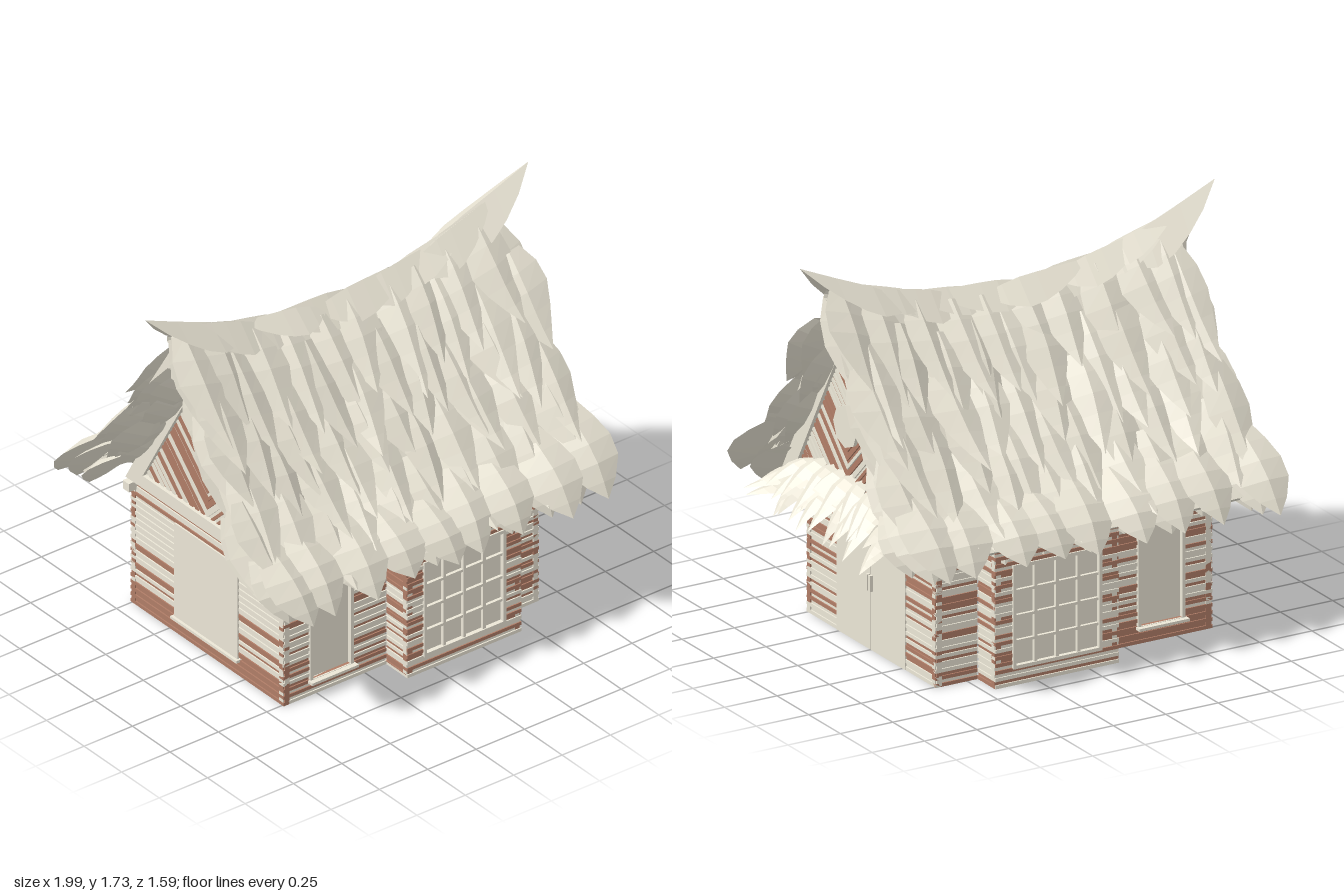
import * as THREE from 'three';
import { mergeGeometries } from 'three/addons/utils/BufferGeometryUtils.js';

const cream = new THREE.MeshStandardMaterial({ color: 0xebe6d6, flatShading: true, side: THREE.DoubleSide });
const brown = new THREE.MeshStandardMaterial({ color: 0xb07d67, flatShading: true, side: THREE.DoubleSide });

let seed = 7;
const rnd = () => (seed = (seed * 16807) % 2147483647) / 2147483647;
const vary = (a) => (rnd() * 2 - 1) * a;

function add(parent, name, geo, mat = cream) {
  const m = new THREE.Mesh(geo, mat);
  m.name = name;
  parent.add(m);
  return m;
}
function box(parent, name, w, h, d, x, y, z) {
  const m = add(parent, name, new THREE.BoxGeometry(w, h, d));
  m.position.set(x, y, z);
  return m;
}

// Wall of thin stacked planks facing +z, from x0 to x1, with an optional opening [x0, x1, y0, y1]
function plankWall(parent, name, x0, x1, hole) {
  const rows = 40, h = 0.62 / rows, parts = [[], []];
  for (let i = 0; i < rows; i++) {
    const y = (i + 0.5) * h;
    const cut = hole && y > hole[2] && y < hole[3];
    const spans = cut ? [[x0, hole[0]], [hole[1], x1]] : [[x0, x1]];
    const tone = rnd(), depth = i % 2 ? 0.024 : 0.03;
    for (const [a, b] of spans) {
      const g = new THREE.BoxGeometry(b - a, h, depth);
      g.translate((a + b) / 2, y, depth / 2 - 0.03);
      parts[tone + vary(0.15) > 0.58 ? 1 : 0].push(g);
    }
  }
  const wall = new THREE.Group();
  wall.name = name;
  parts.forEach((p, i) => p.length && add(wall, i ? 'brownPlanks' : 'palePlanks', mergeGeometries(p), i ? brown : cream));
  parent.add(wall);
  return wall;
}

// Pointed, ridged leaf; map(across, along 0..1, out) places it on a surface
function leaf(width, thick, map, sections = [0.5, 0.9, 1, 0.75, 0.4, 0]) {
  const n = sections.length - 1;
  const g = new THREE.CylinderGeometry(1, 1, 1, 4, n, true);
  const p = g.attributes.position;
  for (let i = 0; i < p.count; i++) {
    const along = 0.5 - p.getY(i);
    const w = sections[Math.round(along * n)];
    const v = map(p.getX(i) * w * width / 2, along, p.getZ(i) * w * thick);
    p.setXYZ(i, v.x, v.y, v.z);
  }
  return g;
}

// Sagging, flared roof slope: x, t (0 ridge .. 1 eave), distance out
function slope(x, t, out) {
  const top = 1.45 + 0.17 * (x / 0.88) ** 2;
  const y = 0.54 + (top - 0.54) * (t < 1 ? Math.pow(1 - t, 1.2) : 1 - t);
  return new THREE.Vector3(x, y + out * 0.55, 0.02 + 0.75 * t + out * 0.83);
}

function thatchSide() {
  const side = new THREE.Group();
  side.name = 'roofSlope';
  const core = new THREE.BoxGeometry(1.6, 1, 1, 14, 10, 1);
  const p = core.attributes.position;
  for (let i = 0; i < p.count; i++) {
    const v = slope(p.getX(i), (0.5 - p.getY(i)) * 0.88, p.getZ(i) > 0 ? -0.01 : -0.06);
    p.setXYZ(i, v.x, v.y, v.z);
  }
  add(side, 'thatchBase', core);
  const leaves = [], rows = 6;
  for (const layer of [-0.1, -0.05, 0]) {
    for (let r = layer < -0.08 ? 1 : 0; r < rows - 1; r++) {
      for (let c = 0; c < 10; c++) {
        const x = -0.77 + 1.51 * c / 9 + (r % 2 ? 0.025 : -0.025) + vary(0.025);
        const t0 = Math.max(0, r * 0.135 - 0.03 + vary(0.05));
        const len = 0.35 + vary(0.05);
        const skew = vary(0.05), tilt = vary(0.2), lift = 0.03 + rnd() * 0.04;
        leaves.push(leaf(0.18 + rnd() * 0.06, 0.036, (a, s, o) =>
          slope(x + a + skew * s * s, t0 + len * s, layer + lift * s * s + o + a * tilt)));
      }
    }
    // Eave row of wide bulging leaves
    for (let c = 0; c < 9; c++) {
      const x = -0.78 + 1.54 * c / 8 + vary(0.03), t0 = 0.64 + vary(0.03);
      const len = 0.99 + layer * 0.7 - t0 + vary(0.015), skew = vary(0.04), tilt = vary(0.15);
      leaves.push(leaf(0.23 + rnd() * 0.04, 0.036, (a, s, o) =>
        slope(x + a + skew * s, t0 + len * s, layer + 0.025 * s + 0.03 * Math.sin(Math.PI * s) + o + a * tilt),
      [0.5, 0.8, 1, 0.95, 0.55, 0]));
    }
  }
  add(side, 'thatchLeaves', mergeGeometries(leaves));
  return side;
}

// Leaves lying along the curved ridge toward one upturned end
function ridgeHalf() {
  const leaves = [];
  for (const [x0, len, w] of [[-0.12, 0.5, 0.2], [0.08, 0.42, 0.19], [0.22, 0.45, 0.2], [0.36, 0.44, 0.2], [0.48, 0.51, 0.22], [0.4, 0.4, 0.17]]) {
    const dz = vary(0.02), twist = vary(0.25);
    leaves.push(leaf(w, 0.035, (a, s, o) => {
      const x = x0 + len * s;
      const y = 1.45 + 0.26 * Math.pow(Math.abs(x), 2.3) + 0.03 * s;
      return new THREE.Vector3(x, y + o - Math.abs(a) * 0.75 + a * twist, dz * (1 - s) - a);
    }, [0.2, 0.7, 1, 0.95, 0.75, 0.45, 0]));
  }
  return mergeGeometries(leaves);
}

// Small thatched canopy over the +x entrance
function canopy() {
  const leaves = [];
  for (let r = 0; r < 3; r++) {
    for (let c = 0; c < 10; c++) {
      const z0 = -0.36 + 0.08 * c + vary(0.02);
      const top = 0.79 - 0.035 * r - 0.75 * Math.max(0, Math.abs(z0) - 0.24);
      const drop = top - 0.57 - 0.04 * (2 - r) + vary(0.025);
      const x0 = 0.75 + 0.02 * r, reach = 0.18 + vary(0.03), skew = vary(0.05);
      leaves.push(leaf(0.11, 0.02, (a, s, o) => new THREE.Vector3(
        x0 + reach * s + o * 0.6, top - drop * Math.pow(s, 1.4) + o * 0.8, z0 * (1 + 0.2 * s) + skew * s - a)));
    }
  }
  return mergeGeometries(leaves);
}

// Gable with chevron planks, sloping boards and an octagonal panel, facing +z
function gable() {
  const g = new THREE.Group();
  g.name = 'gable';
  const parts = [[], []], apex = 1.42, base = 0.62, step = (apex - base) / 42;
  const low = (c) => (c >= base ? [0, c] : [base - c, base]);
  const high = (c) => { const z = (apex - c) / 2.75; return [z, c + z]; };
  for (let k = -24; k < 42; k++) {
    const c = base + k * step, d = base + (k + 1) * step, tone = rnd() > 0.6 ? 1 : 0;
    for (const s of [-1, 1]) {
      const pts = [low(c), high(c), high(d), low(d)].map(([x, y]) => new THREE.Vector2(s * x, y));
      parts[tone].push(new THREE.ExtrudeGeometry(new THREE.Shape(pts), { depth: k % 2 ? 0.018 : 0.025, bevelEnabled: false }));
    }
  }
  parts.forEach((p, i) => add(g, i ? 'brownChevrons' : 'paleChevrons', mergeGeometries(p), i ? brown : cream));
  const tri = (w, y0, y1) => [[-w, y0], [w, y0], [0, y1]].map(([x, y]) => new THREE.Vector2(x, y));
  const boards = new THREE.Shape(tri(0.525, 0.6, 1.53));
  boards.holes.push(new THREE.Path(tri(0.41, 0.66, 1.38)));
  add(g, 'gableBoards', new THREE.ExtrudeGeometry(boards, { depth: 0.04, bevelEnabled: false }));
  const oct = add(g, 'octagonPanel', new THREE.CylinderGeometry(0.093, 0.093, 0.05, 8).rotateX(Math.PI / 2));
  oct.position.set(0, 1, 0.01);
  return g;
}

// Framed panel with optional glazing bars, facing +z
function framedPanel(parent, name, x0, x1, y0, y1, z, cols, rows) {
  const f = new THREE.Group(), w = x1 - x0, h = y1 - y0, cx = (x0 + x1) / 2, cy = (y0 + y1) / 2;
  f.name = name;
  box(f, 'pane', w, h, 0.01, cx, cy, z - 0.018);
  for (const i of [0, 1]) {
    box(f, 'frameSide', 0.015, h, 0.03, x0 + w * i, cy, z - 0.008);
    box(f, 'frameRail', w + 0.015, 0.015, 0.03, cx, y0 + h * i, z - 0.008);
  }
  for (let i = 1; i < cols; i++) box(f, 'uprightBar', 0.014, h, 0.02, x0 + w * i / cols, cy, z - 0.008);
  for (let i = 1; i < rows; i++) box(f, 'crossBar', w, 0.012, 0.018, cx, y0 + h * i / rows, z - 0.008);
  parent.add(f);
}

export function createModel() {
  const model = new THREE.Group();
  model.name = 'thatchedHut';

  // Long walls with window and projecting bay, front and back
  for (const s of [1, -1]) {
    const side = new THREE.Group();
    side.name = s > 0 ? 'frontWall' : 'backWall';
    const flip = (a, b) => (s > 0 ? [a, b] : [-b, -a]);
    const [w0, w1] = flip(-0.53, -0.32), [b0, b1] = flip(-0.05, 0.36), [l, r] = flip(-0.14, 0.45);
    plankWall(side, 'windowWall', ...flip(-0.67, -0.14), [w0, w1, 0.07, 0.52]).position.z = 0.51;
    plankWall(side, 'cornerWall', ...flip(0.45, 0.65)).position.z = 0.51;
    plankWall(side, 'bayFront', l, r, [b0, b1, 0.08, 0.52]).position.z = 0.65;
    for (const [x, dir] of [[l, -1], [r, 1]]) {
      const cheek = plankWall(side, 'baySide', -0.07, 0.07);
      cheek.rotation.y = dir * Math.PI / 2;
      cheek.position.set(x, 0, 0.575);
    }
    framedPanel(side, 'smallWindow', w0, w1, 0.07, 0.52, 0.51, 1, 1);
    framedPanel(side, 'bayWindow', b0, b1, 0.08, 0.52, 0.65, 4, 4);
    box(side, 'windowSill', 0.24, 0.012, 0.05, (w0 + w1) / 2, 0.07, 0.515);
    box(side, 'bayFloor', 0.59, 0.012, 0.15, (l + r) / 2, 0.006, 0.57);
    box(side, 'bayTop', 0.59, 0.04, 0.15, (l + r) / 2, 0.64, 0.575);
    box(side, 'wallPlate', 1.42, 0.04, 0.04, 0, 0.58, 0.49);
    side.rotation.y = s > 0 ? 0 : Math.PI;
    model.add(side);
  }

  // Entrance end: double door, soffit and projecting gable
  const entrance = new THREE.Group();
  entrance.name = 'entranceEnd';
  plankWall(entrance, 'doorWall', -0.51, 0.51, [-0.27, 0.27, -1, 0.59]).position.z = 0.65;
  for (const d of [-1, 1]) {
    box(entrance, 'door', 0.268, 0.59, 0.02, d * 0.135, 0.295, 0.642);
    box(entrance, 'doorHandle', 0.014, 0.07, 0.02, d * 0.011, 0.295, 0.656);
    box(entrance, 'beamEnd', 0.03, 0.06, 0.06, d * 0.5, 0.63, 0.68);
  }
  box(entrance, 'soffit', 1.05, 0.02, 0.14, 0, 0.61, 0.71);
  const entranceGable = gable();
  entranceGable.position.z = 0.74;
  entrance.add(entranceGable);
  entrance.rotation.y = Math.PI / 2;
  model.add(entrance);

  // Far end: full plank wall with a panel and flush gable
  const far = new THREE.Group();
  far.name = 'farEnd';
  plankWall(far, 'endWall', -0.51, 0.51).position.z = 0.67;
  box(far, 'endPanel', 0.42, 0.46, 0.01, 0, 0.3, 0.672);
  box(far, 'endSill', 0.44, 0.012, 0.03, 0, 0.075, 0.675);
  const farGable = gable();
  farGable.position.z = 0.645;
  far.add(farGable);
  far.rotation.y = -Math.PI / 2;
  model.add(far);

  // Roof
  for (const turn of [0, Math.PI]) {
    const side = thatchSide();
    side.rotation.y = turn;
    model.add(side);
    add(model, 'ridgeThatch', ridgeHalf()).rotation.y = turn;
  }
  for (const s of [-1, 1]) box(model, 'ridgePost', 0.03, 0.2, 0.03, s * 0.83, 1.49, 0);
  const pole = new THREE.CatmullRomCurve3([-0.86, -0.45, 0, 0.45, 0.86].map((x) => new THREE.Vector3(x, 1.4 + 0.26 * x * x, 0)));
  add(model, 'ridgePole', new THREE.TubeGeometry(pole, 12, 0.022, 8));
  add(model, 'entranceCanopy', canopy());
  return model;
}
